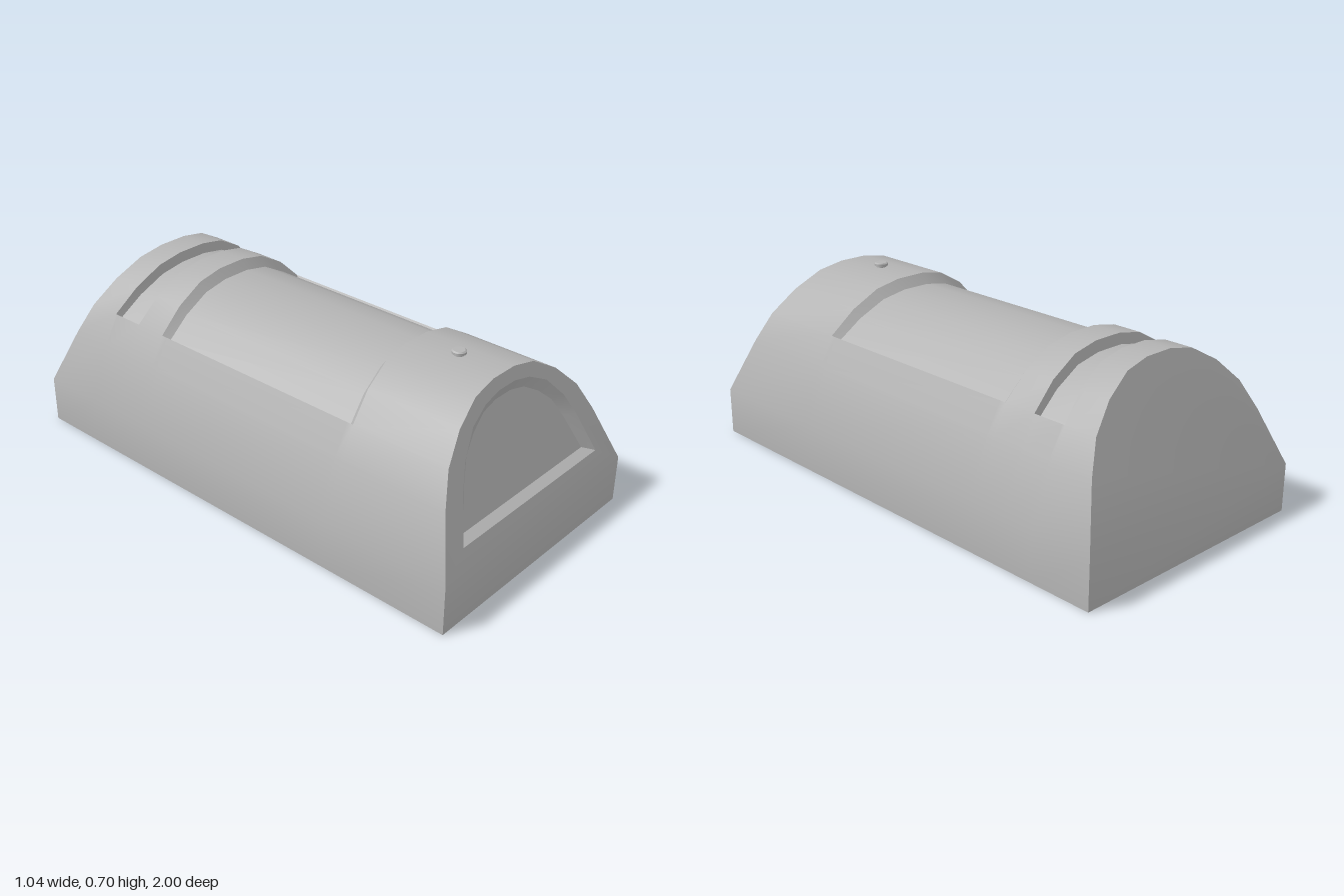
import * as THREE from 'three';
import { toCreasedNormals } from 'three/addons/utils/BufferGeometryUtils.js';

// Half outlines (x, y), from the right-hand edge up to the crown
const OUTER = [[0.518, 0], [0.518, 0.185], [0.43, 0.4], [0.37, 0.51], [0.275, 0.6], [0.165, 0.663], [0.06, 0.684]];
const FLOOR = [[0.355, 0.49], [0.265, 0.567], [0.16, 0.625], [0.058, 0.645]];
const OPENING = [[0.393, 0.262], [0.33, 0.42], [0.285, 0.503], [0.21, 0.583], [0.125, 0.624], [0.045, 0.64]];
const PANEL = [[0.35, 0.28], [0.287, 0.42], [0.245, 0.493], [0.185, 0.545], [0.115, 0.585], [0.042, 0.6]];

const mirror = (half) => [...half, ...half.slice().reverse().map(([x, y]) => [-x, y])];
// Depth of the sloping end walls at a given height
const endZ = (y) => 1 - Math.max(0, y - 0.185) * 0.372;

function createSurface() {
  const pos = [];
  const tri = (a, b, c) => {
    const [A, B, C] = [a, b, c].map((p) => new THREE.Vector3(...p));
    if (B.clone().sub(A).cross(C.clone().sub(A)).length() > 1e-8) pos.push(...a, ...b, ...c);
  };
  const quad = (a, b, c, d) => { tri(a, b, c); tri(a, c, d); };
  const fan = (pts) => { for (let i = 1; i < pts.length - 1; i++) tri(pts[0], pts[i], pts[i + 1]); };
  const ring = (a, b) => a.forEach((p, i) => {
    const j = (i + 1) % a.length;
    quad(p, a[j], b[j], b[i]);
  });

  // Stations along the length: z at the recess edge, z at the crown, sunken or not
  const stations = [
    null,
    [0.48, 0.446, false], [0.455, 0.416, true],
    [-0.45, -0.45, true], [-0.475, -0.475, false],
    [-0.61, -0.592, false], [-0.616, -0.602, true],
    [-0.735, -0.694, true], [-0.745, -0.702, false],
    null,
  ];
  const section = (s, n) => {
    const top = s && s[2] ? FLOOR : OUTER.slice(3);
    return mirror([...OUTER.slice(0, 4), ...top]).map(([x, y], i) => {
      if (!s) return [x, y, n === 0 ? endZ(y) : -endZ(y)];
      const k = Math.min(i, 15 - i) < 4 ? 0 : THREE.MathUtils.clamp((y - top[0][1]) / (top[3][1] - top[0][1]), 0, 1);
      return [x, y, s[0] + (s[1] - s[0]) * k];
    });
  };

  // Vaulted skin with both roof recesses
  const rows = stations.map(section);
  for (let n = 0; n < rows.length - 1; n++) {
    for (let i = 0; i < 15; i++) quad(rows[n][i], rows[n + 1][i], rows[n + 1][i + 1], rows[n][i + 1]);
  }

  // Front wall: lower band, sloping frame, recess walls and panel
  const at = (half, inset) => mirror(half).map(([x, y]) => [x, y, endZ(y) - inset]);
  const arch = at(OUTER.slice(1), 0), opening = at(OPENING, 0), panel = at(PANEL, 0.028);
  const w = 0.518, h = 0.185;
  quad([-w, 0, 1], [w, 0, 1], [w, h, 1], [-w, h, 1]);
  ring(arch, opening);
  ring(opening, panel);
  fan(panel);

  // Plain back wall and underside
  quad([w, 0, -1], [-w, 0, -1], [-w, h, -1], [w, h, -1]);
  fan(arch.map(([x, y, z]) => [x, y, -z]).reverse());
  quad([-w, 0, -1], [w, 0, -1], [w, 0, 1], [-w, 0, 1]);

  const g = new THREE.BufferGeometry();
  g.setAttribute('position', new THREE.Float32BufferAttribute(pos, 3));
  return toCreasedNormals(g, THREE.MathUtils.degToRad(32));
}

export function createModel() {
  const group = new THREE.Group();
  group.name = 'vaultedHousing';
  const grey = new THREE.MeshStandardMaterial({ color: 0xb4b4b4 });
  grey.name = 'plain grey';

  const body = new THREE.Mesh(createSurface(), grey);
  body.name = 'body';

  // Small button on the roof
  const profile = [[0.02, -0.01], [0.02, 0.004], [0.027, 0.006], [0.027, 0.015], [0.022, 0.019], [0, 0.019]]
    .map(([x, y]) => new THREE.Vector2(x, y));
  const button = new THREE.Mesh(toCreasedNormals(new THREE.LatheGeometry(profile, 14), 0.6), grey);
  button.name = 'roofButton';
  button.position.set(0, 0.684, 0.63);

  group.add(body, button);
  return group;
}
